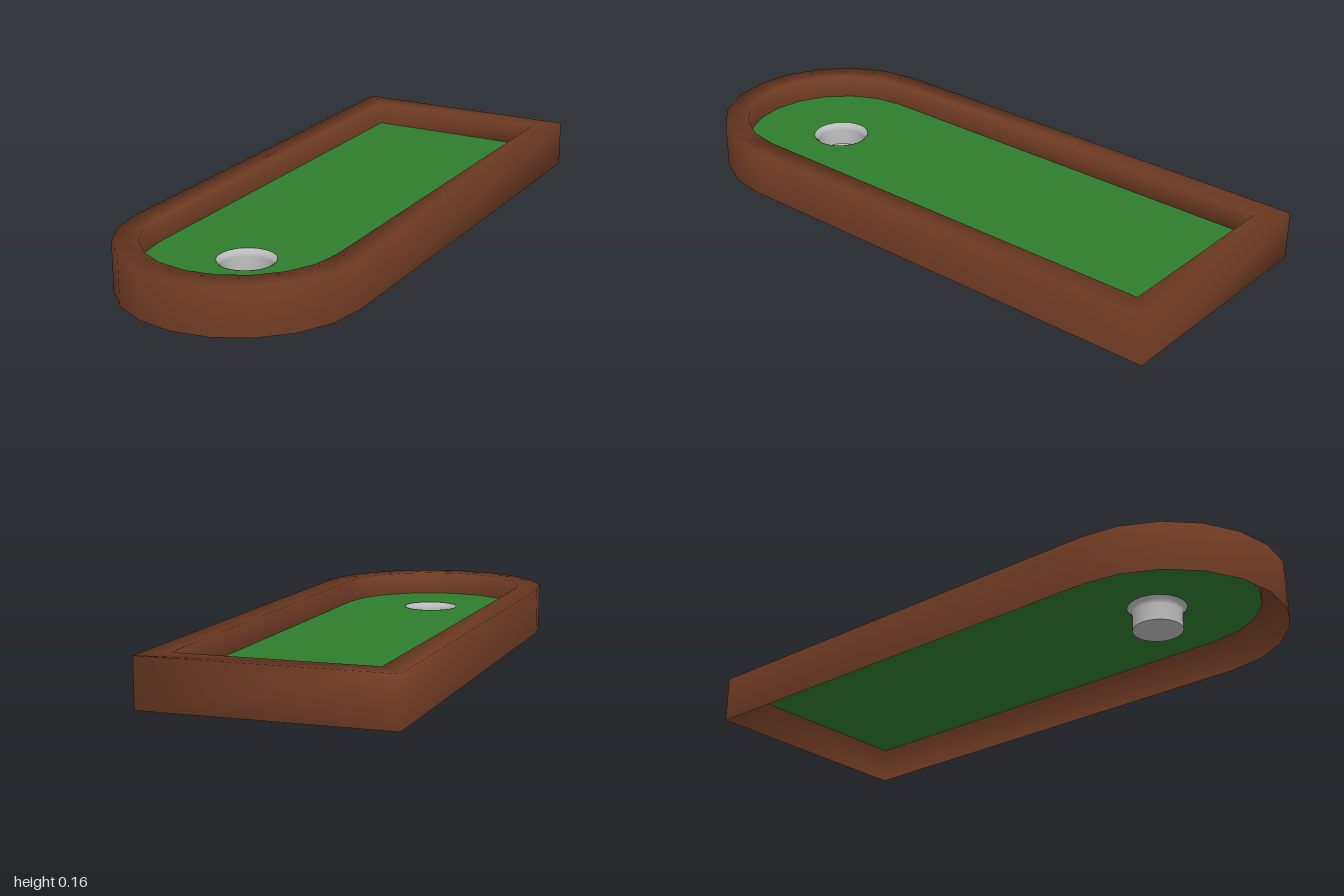
import * as THREE from 'three';

const HEIGHT = 0.16, FELT_Y = 0.08, ARC_Z = 0.6, ARC_STEPS = 10;
const CUP_Z = 0.59, CUP_R = 0.095;

// Plan outline [x, z]: square at the back, half round at the front
function outline(r, backZ) {
  const pts = [[-r, backZ]];
  for (let i = 0; i <= ARC_STEPS; i++) {
    const a = Math.PI * (1 - i / ARC_STEPS);
    pts.push([r * Math.cos(a), ARC_Z + r * Math.sin(a)]);
  }
  pts.push([r, backZ]);
  return pts;
}

// Smooth band of quads joining closed loops of equal length
function loft(loops) {
  const n = loops[0].length, pos = [], idx = [];
  loops.forEach(loop => loop.forEach(p => pos.push(...p)));
  for (let k = 0; k < loops.length - 1; k++) {
    for (let i = 0; i < n; i++) {
      const a = k * n + i, b = k * n + (i + 1) % n;
      idx.push(a, b, b + n, a, b + n, a + n);
    }
  }
  const g = new THREE.BufferGeometry();
  g.setAttribute('position', new THREE.Float32BufferAttribute(pos, 3));
  g.setIndex(idx);
  g.computeVertexNormals();
  return g;
}

function material(name, color) {
  const m = new THREE.MeshStandardMaterial({ color, side: THREE.DoubleSide });
  m.name = name;
  return m;
}

export function createModel() {
  const model = new THREE.Group();
  model.name = 'puttingGreen';
  const wood = material('brown wood', 0x6e3b23);
  const turf = material('green turf', 0x2e7d2e);
  const metal = material('grey metal', 0xbebebe);

  const add = (name, geometry, mat, parent = model) => {
    const mesh = new THREE.Mesh(geometry, mat);
    mesh.name = name;
    parent.add(mesh);
    return mesh;
  };

  // Hollow border: outer wall, top rim, inner wall down to the turf
  const outer = outline(0.4, -1), inner = outline(0.32, -0.92);
  const at = (pts, y) => pts.map(([x, z]) => [x, y, z]);
  add('border', loft([at(outer, 0), at(outer, HEIGHT), at(inner, HEIGHT), at(inner, FELT_Y)]), wood);

  // Turf sheet with the hole cut out
  const shape = new THREE.Shape(inner.map(([x, z]) => new THREE.Vector2(x, -z)));
  const hole = new THREE.Path();
  hole.absarc(0, -CUP_Z, CUP_R, 0, Math.PI * 2, true);
  shape.holes.push(hole);
  const sheet = new THREE.ShapeGeometry(shape, 16);
  sheet.rotateX(-Math.PI / 2);
  add('turf', sheet, turf).position.y = FELT_Y;

  // Cup with a flared lip
  const cup = new THREE.Group();
  cup.name = 'cup';
  cup.position.z = CUP_Z;
  model.add(cup);
  const profile = [[0.08, 0.002], [0.08, 0.058], [0.084, 0.07], [CUP_R, FELT_Y + 0.001]];
  add('cupWall', new THREE.LatheGeometry(profile.map(p => new THREE.Vector2(...p)), 32), metal, cup);
  const floor = new THREE.CircleGeometry(0.08, 32);
  floor.rotateX(-Math.PI / 2);
  add('cupFloor', floor, metal, cup).position.y = 0.002;

  return model;
}
